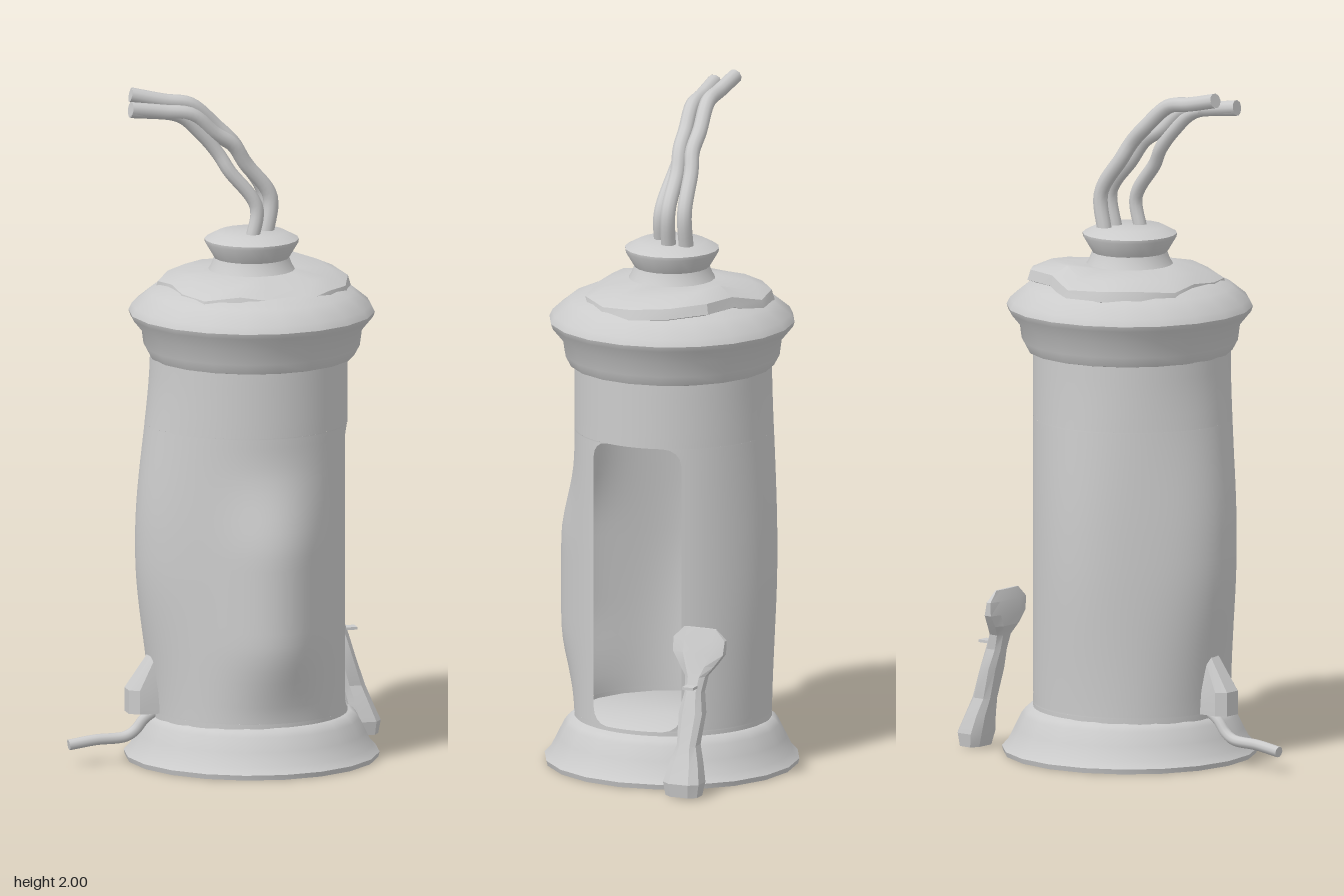
import * as THREE from 'three';
import { toCreasedNormals } from 'three/addons/utils/BufferGeometryUtils.js';

const AXIS = 0.055; // x of the drum's axis
const material = new THREE.MeshStandardMaterial({ color: 0xcccccc });
const thin = new THREE.MeshStandardMaterial({ color: 0xcccccc, side: THREE.DoubleSide });
const smooth = THREE.MathUtils.smoothstep;

function part(name, geometry, mat = material) {
  const mesh = new THREE.Mesh(geometry, mat);
  mesh.name = name;
  return mesh;
}

// Turned part, profile as [radius, y] from bottom to top
function turned(name, profile) {
  const g = new THREE.LatheGeometry(profile.map(([r, y]) => new THREE.Vector2(r, y)), 20);
  const mesh = part(name, toCreasedNormals(g, 0.7));
  mesh.position.x = AXIS;
  return mesh;
}

// Skin over equal-sized rings of [x, y, z], counterclockwise from above, bottom to top
function loft(rings, crease) {
  const n = rings[0].length, index = [];
  for (let i = 0; i < rings.length - 1; i++) {
    for (let j = 0; j < n; j++) {
      const a = i * n + j, b = i * n + (j + 1) % n;
      index.push(a, b, b + n, a, b + n, a + n);
    }
  }
  const top = (rings.length - 1) * n;
  for (let j = 1; j < n - 1; j++) index.push(0, j + 1, j, top, top + j, top + j + 1);
  const g = new THREE.BufferGeometry();
  g.setAttribute('position', new THREE.Float32BufferAttribute(rings.flat(2), 3));
  g.setIndex(index);
  return toCreasedNormals(g, crease);
}

// Chamfered rectangle: height, x range, z centre, half width
function block(y, x0, x1, z, w) {
  const c = (x0 + x1) / 2, d = (x1 - x0) / 2;
  const corners = [[1, 0.55], [1, -0.55], [0.55, -1], [-0.55, -1], [-1, -0.55], [-1, 0.55], [-0.55, 1], [0.55, 1]];
  return corners.map(([u, v]) => [c + u * d, y, z + v * w]);
}

// Drum wall radius; angle runs from +x towards +z
function wallRadius(t, y) {
  const lobe = (centre, width) => {
    const d = Math.atan2(Math.sin(t - centre), Math.cos(t - centre));
    return Math.exp(-((d / width) ** 2));
  };
  const front = smooth(y, 0.13, 0.4) * (1 - smooth(y, 0.64, 0.94));
  const side = smooth(y, 0.1, 0.62) * (1 - smooth(y, 0.66, 1.25));
  return 0.288 - 0.008 * Math.cos(t)
    + 0.055 * front * lobe(Math.PI / 2, 0.45)
    + 0.05 * side * lobe(Math.PI, 0.55)
    + 0.02 * side * lobe(Math.PI * 1.45, 0.5);
}

// Open drum with a rounded window on the +x side
function drumGeometry() {
  const bottom = 0.15, top = 1.0, half = 0.14, corner = 0.05, seg = 64;
  const rows = [];
  const solid = (y) => rows.push([y, 0]);
  const cut = (y) => {
    const d = Math.max(0, corner - Math.min(y - bottom, top - y));
    const w = half - corner + Math.sqrt(Math.max(0, corner ** 2 - d * d));
    rows.push([y, Math.asin(w / 0.28)]);
  };
  solid(0.12);
  solid(bottom);
  for (const d of [0, 0.004, 0.015, 0.03, 0.05]) cut(bottom + d);
  for (let i = 1; i < 20; i++) cut(0.2 + i * 0.0375);
  for (const d of [0.05, 0.03, 0.015, 0.004, 0]) cut(top - d);
  for (const y of [top, 1.05, 1.1, 1.15, 1.22]) solid(y);

  const pos = [], index = [];
  rows.forEach(([y, gap], i) => {
    for (let j = 0; j <= seg; j++) {
      const t = gap + (j / seg) * (2 * Math.PI - 2 * gap), r = wallRadius(t, y);
      pos.push(AXIS + r * Math.cos(t), y, r * Math.sin(t));
    }
    if (i === 0 || rows[i - 1][0] === y) return;
    for (let j = 0; j < seg; j++) {
      const a = (i - 1) * (seg + 1) + j, c = a + seg + 1;
      index.push(a, c, a + 1, a + 1, c, c + 1);
    }
  });
  const g = new THREE.BufferGeometry();
  g.setAttribute('position', new THREE.Float32BufferAttribute(pos, 3));
  g.setIndex(index);
  g.computeVertexNormals();
  return g;
}

// Crumpled cap: uneven outline and edge height, from +x towards the back
function crumpledCap() {
  const outline = [0.3, 0.304, 0.3, 0.265, 0.297, 0.3, 0.29, 0.285, 0.25, 0.265, 0.285, 0.265, 0.262, 0.27, 0.27, 0.285];
  const edge = [1.4, 1.41, 1.42, 1.42, 1.395, 1.4, 1.4, 1.39, 1.4, 1.39, 1.385, 1.4, 1.385, 1.38, 1.395, 1.39];
  const ring = (scale, rise, level) => outline.map((r, i) => {
    const t = (i / 16) * Math.PI * 2, q = level ? scale : r * scale;
    return [AXIS + q * Math.cos(t), level || edge[i] + rise, -q * Math.sin(t)];
  });
  return loft([ring(0.85, -0.03), ring(1, -0.015), ring(0.97, 0.015), ring(0.78, 0.04), ring(0.13, 0, 1.45)], 0.6);
}

function tube(name, points, radius) {
  const curve = new THREE.CatmullRomCurve3(points.map((p) => new THREE.Vector3(...p)), false, 'centripetal');
  const group = new THREE.Group();
  group.name = name;
  group.add(part(name + 'Length', new THREE.TubeGeometry(curve, 40, radius, 10)));
  // Flat disc closing the free end
  const end = part(name + 'End', new THREE.CircleGeometry(radius, 10), thin);
  end.position.copy(curve.getPoint(1));
  end.lookAt(end.position.clone().add(curve.getTangent(1)));
  group.add(end);
  return group;
}

export function createModel() {
  const model = new THREE.Group();
  model.name = 'canister';

  // Foot, wall, collar and neck
  model.add(turned('base', [[0, 0], [0.37, 0], [0.374, 0.015], [0.355, 0.035], [0.335, 0.075], [0.315, 0.115],
    [0.305, 0.128], [0.29, 0.138], [0, 0.14]]));
  model.add(part('drum', drumGeometry(), thin));
  model.add(turned('collar', [[0, 1.2], [0.28, 1.19], [0.3, 1.195], [0.316, 1.225], [0.322, 1.27], [0.355, 1.31],
    [0.36, 1.325], [0.35, 1.345], [0.3, 1.385], [0.25, 1.405], [0, 1.43]]));
  model.add(part('crumpledCap', crumpledCap()));
  model.add(turned('neck', [[0.14, 1.43], [0.12, 1.46], [0.11, 1.485], [0.137, 1.53], [0.138, 1.54], [0.1, 1.56], [0, 1.56]]));

  // Cords rising from the neck and bending towards -x
  model.add(tube('backCord', [[0.095, 1.54, -0.065], [0.11, 1.66, -0.065], [0.04, 1.77, -0.055], [0.01, 1.82, -0.045],
    [-0.04, 1.87, -0.045], [-0.12, 1.94, -0.035], [-0.2, 1.955, -0.035], [-0.3, 1.978, -0.04]], 0.022));
  model.add(tube('middleCord', [[0.1, 1.54, -0.01], [0.115, 1.66, -0.015], [0.04, 1.76, -0.01], [0, 1.82, 0],
    [-0.06, 1.86, 0.01], [-0.13, 1.92, 0.02], [-0.22, 1.935, 0.025], [-0.32, 1.95, 0.035]], 0.022));
  model.add(tube('frontCord', [[0.045, 1.54, 0.04], [0.06, 1.64, 0.035], [-0.02, 1.75, 0.025], [-0.05, 1.8, 0.015],
    [-0.1, 1.86, 0.015], [-0.17, 1.92, 0.02], [-0.32, 1.945, 0.035]], 0.02));

  // Drain valve and spout on the -x side
  model.add(part('valve', loft([block(0.15, -0.325, -0.2, 0.008, 0.045), block(0.22, -0.325, -0.2, 0.008, 0.045),
    block(0.33, -0.25, -0.2, 0.008, 0.03)], 0.3)));
  model.add(tube('spout', [[-0.22, 0.16, 0.008], [-0.27, 0.13, 0.008], [-0.3, 0.095, 0.008], [-0.33, 0.078, 0.008],
    [-0.42, 0.073, 0.008], [-0.5, 0.062, 0.008]], 0.016));

  // Leaning lever with a flat round head
  const z = -0.22;
  const lever = [
    [0.005, 0.42, 0.49, 0.05], [0.045, 0.408, 0.497, 0.057], [0.1, 0.4, 0.473, 0.045], [0.15, 0.388, 0.453, 0.03],
    [0.24, 0.365, 0.422, 0.037], [0.3, 0.35, 0.405, 0.026], [0.345, 0.338, 0.388, 0.032], [0.375, 0.325, 0.378, 0.055],
    [0.41, 0.324, 0.366, 0.08], [0.45, 0.327, 0.353, 0.082], [0.482, 0.335, 0.343, 0.05]];
  model.add(part('lever', loft(lever.map(([y, x0, x1, w]) => block(y, x0, x1, z, w)), 0.3)));
  const catchPin = part('leverCatch', new THREE.BoxGeometry(0.06, 0.008, 0.035));
  catchPin.position.set(0.4, 0.318, z);
  model.add(catchPin);

  return model;
}
